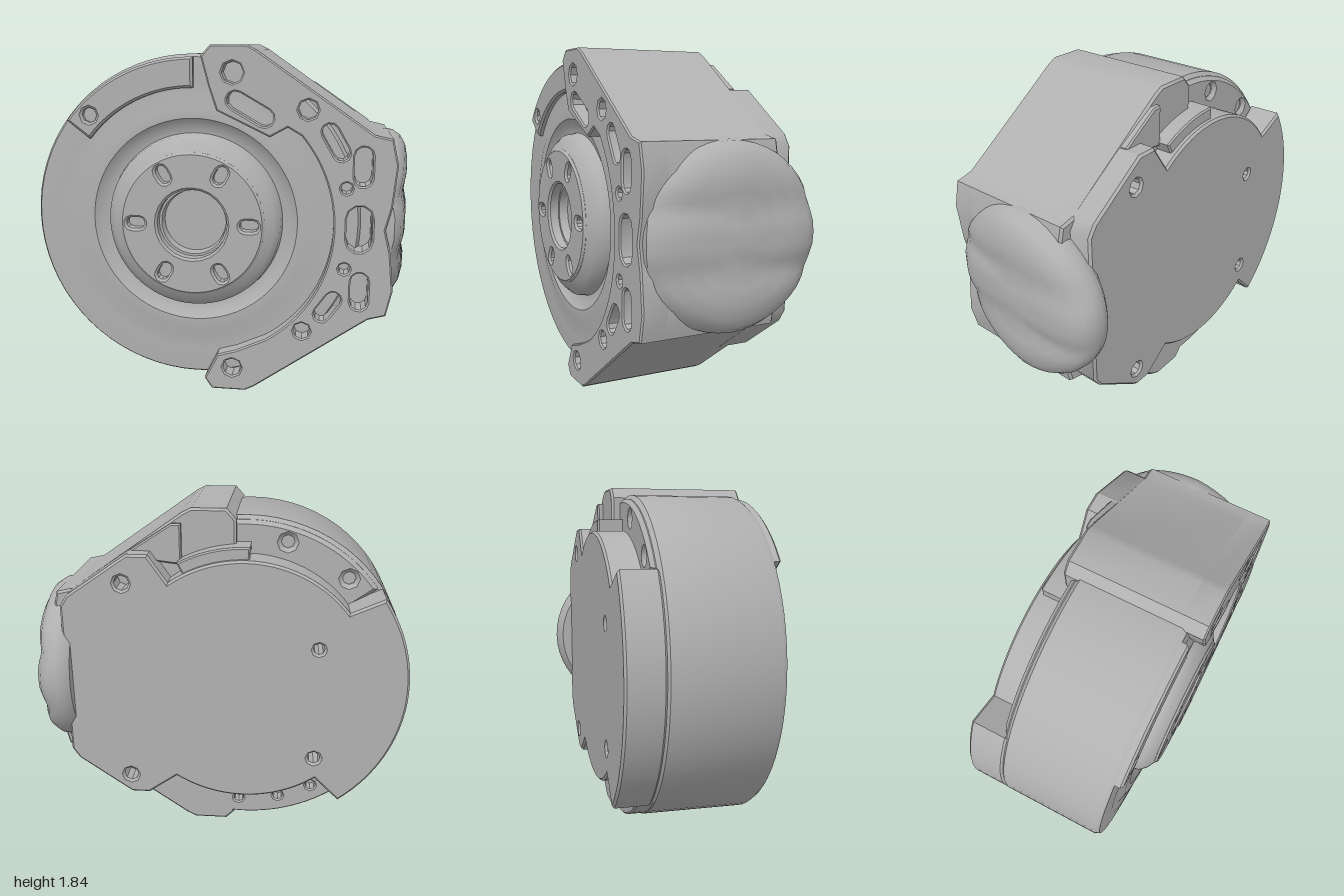
import * as THREE from 'three';
import { toCreasedNormals } from 'three/addons/utils/BufferGeometryUtils.js';

const CX = -0.13, CY = 0.92; // drum axis
const RAD = Math.PI / 180;

// points on an arc, angles in degrees
function arc(r, a0, a1, n = 24, cx = CX, cy = CY) {
  return Array.from({ length: n + 1 }, (_, i) => {
    const a = (a0 + (a1 - a0) * i / n) * RAD;
    return [cx + r * Math.cos(a), cy + r * Math.sin(a)];
  });
}

const toVec = (pts) => pts.map(([x, y]) => new THREE.Vector2(x, y));

// round hole, or a slot with round ends when length > width
function slot(x, y, width, length = width, angle = 0) {
  const r = width / 2, d = (length - width) / 2;
  const ux = Math.cos(angle * RAD) * d, uy = Math.sin(angle * RAD) * d;
  if (d === 0) return arc(r, 0, 315, 7, x, y);
  return [
    ...arc(r, angle - 90, angle + 90, 5, x + ux, y + uy),
    ...arc(r, angle + 90, angle + 270, 5, x - ux, y - uy),
  ];
}

// hole or slot placed by angle and radius around the drum axis
const polarSlot = (r, a, width, length) =>
  slot(CX + r * Math.cos(a * RAD), CY + r * Math.sin(a * RAD), width, length, a);

// plate with holes between two depths, edges slightly softened
function plate(outline, z0, z1, holes = [], bevel = 0.008) {
  const shape = new THREE.Shape(toVec(outline));
  shape.holes = holes.map((h) => new THREE.Path(toVec(h)));
  const g = new THREE.ExtrudeGeometry(shape, {
    depth: z1 - z0 - 2 * bevel, bevelEnabled: true, bevelSize: bevel,
    bevelThickness: bevel, bevelOffset: -bevel, bevelSegments: 1, curveSegments: 8,
  });
  g.translate(0, 0, z0 + bevel);
  return toCreasedNormals(g, 0.6);
}

const sector = (r0, r1, a0, a1) => [...arc(r1, a0, a1), ...arc(r0, a1, a0)];

export function createModel() {
  const group = new THREE.Group();
  const metal = new THREE.MeshStandardMaterial({ color: 0xb0b0b0 });
  metal.name = 'grey metal';
  const add = (name, geometry) => {
    const m = new THREE.Mesh(geometry, metal);
    m.name = name;
    group.add(m);
  };

  // round drum with a raised ring, groove and sloped hub on the front
  const profile = [
    [0, -0.2], [0.85, -0.2], [0.87, -0.18], [0.87, 0.355], [0.855, 0.38],
    [0.73, 0.388], [0.67, 0.385], [0.6, 0.403], [0.545, 0.403], [0.505, 0.368], [0.466, 0.362],
    [0.457, 0.41], [0.425, 0.445], [0.365, 0.478], [0.36, 0.42], [0.172, 0.42], [0.165, 0.37], [0, 0.37],
  ];
  const drum = new THREE.LatheGeometry(toVec(profile), 72);
  drum.rotateX(Math.PI / 2);
  drum.translate(CX, CY, 0);
  add('drum', toCreasedNormals(drum, 0.6));

  // hub face with centre bore and six pits
  add('hubFace', plate(arc(0.38, 0, 355, 71), 0.41, 0.483,
    [arc(0.185, 0, 345, 23), ...[0, 60, 120, 180, 240, 300].map((a) => polarSlot(0.3, a, 0.06, 0.1))], 0.012));

  // raised arc pad with a bolt hole on the front rim
  add('frontRimPad', plate(sector(0.7, 0.855, 90, 142), 0.36, 0.42,
    [slot(-0.68, 1.475, 0.08)], 0.012));

  // angular housing beside the drum
  const outer = [
    [-0.03, 0], [0.15, 0], [0.2, 0.025], [0.79, 0.44], [0.88, 0.465], [0.91, 0.6], [0.89, 0.8],
    [0.86, 0.92], [0.89, 1.04], [0.91, 1.25], [0.88, 1.38], [0.79, 1.4], [0.2, 1.81],
    [0.15, 1.835], [-0.03, 1.835], [-0.08, 1.78],
  ];
  add('housing', plate([...outer, [-0.08, 0.05]], -0.27, 0.35, [], 0.012));

  // front flange with bolt holes and slots
  const flange = [
    ...outer, [-0.04, 1.63], [0.0, 1.51], [0.27, 1.38], [0.36, 1.43],
    ...arc(0.73, 40, -58, 28), [0.1, 0.23], [0, 0.2], [-0.07, 0.06],
  ];
  add('frontFlange', plate(flange, 0.33, 0.468, [
    slot(0.08, 1.7, 0.11), slot(0.17, 1.52, 0.09, 0.26, -30), slot(0.46, 1.52, 0.1),
    slot(0.6, 1.36, 0.08, 0.2, -60), slot(0.74, 1.24, 0.09, 0.2, 90), slot(0.66, 1.13, 0.06),
    slot(0.73, 0.92, 0.13, 0.24, 90), slot(0.66, 0.71, 0.06), slot(0.74, 0.59, 0.09, 0.2, 90),
    slot(0.58, 0.5, 0.08, 0.18, 55), slot(0.45, 0.36, 0.09), slot(0.08, 0.13, 0.1),
  ]));

  // back cover: full radius on the drum side, stepped in above and below
  const back = [
    ...arc(0.68, 55, 142), ...arc(0.868, 145, 232, 32), ...arc(0.68, 234, 303),
    [0.4, 0.235], [0.5, 0.235], [0.79, 0.44], [0.83, 0.5], [0.83, 1.34], [0.79, 1.4], [0.47, 1.62], [0.36, 1.62],
  ];
  add('backCover', plate(back, -0.39, -0.19, [
    slot(0.5, 1.47, 0.08), slot(0.5, 0.35, 0.08), slot(-0.52, 1.14, 0.06), slot(-0.52, 0.5, 0.07),
  ], 0.012));

  // ledges with bolt holes in the lower and upper back recesses
  add('lowerBackLedge', plate(sector(0.6, 0.865, 230, 300), -0.27, -0.15,
    [240, 255, 272].map((a) => polarSlot(0.77, a, 0.06))));
  add('upperBackLedge', plate(sector(0.6, 0.85, 80, 144), -0.225, -0.15,
    [106, 134].map((a) => polarSlot(0.77, a, 0.07)), 0.02));

  // raised block in the upper back recess and a low step on the housing
  add('upperBackBlock', plate(sector(0.64, 0.74, 62, 92), -0.36, -0.18));
  add('housingStep', plate([[0.2, 1.55], [0.46, 1.58], [0.46, 1.625], [0.25, 1.76], [0.2, 1.76]], -0.3, -0.2));

  // rounded end cap on the side, tapered at the front with two soft hollows
  const capProfile = [
    [0, 0.79], [0.45, 0.79], [0.478, 0.82], [0.485, 0.86], [0.478, 0.91], [0.45, 0.95], [0.395, 0.98],
    [0.32, 0.995], [0.24, 1], [0.16, 1], [0.08, 1], [0, 1],
  ];
  const cap = new THREE.LatheGeometry(toVec(capProfile), 48);
  cap.rotateZ(-Math.PI / 2);
  const p = cap.attributes.position;
  for (let i = 0; i < p.count; i++) {
    const x = p.getX(i), y = p.getY(i), z = p.getZ(i);
    if (x > 0.9) {
      const hollow = Math.exp(-(((Math.abs(y) - 0.16) / 0.06) ** 2)) * 0.02;
      p.setX(i, x - Math.max(0, z) * 0.1 - hollow);
    }
    p.setZ(i, Math.min(z, 0.445));
    p.setY(i, y * 0.96 + CY);
  }
  cap.computeVertexNormals();
  add('sideCap', toCreasedNormals(cap, 0.7));

  return group;
}
